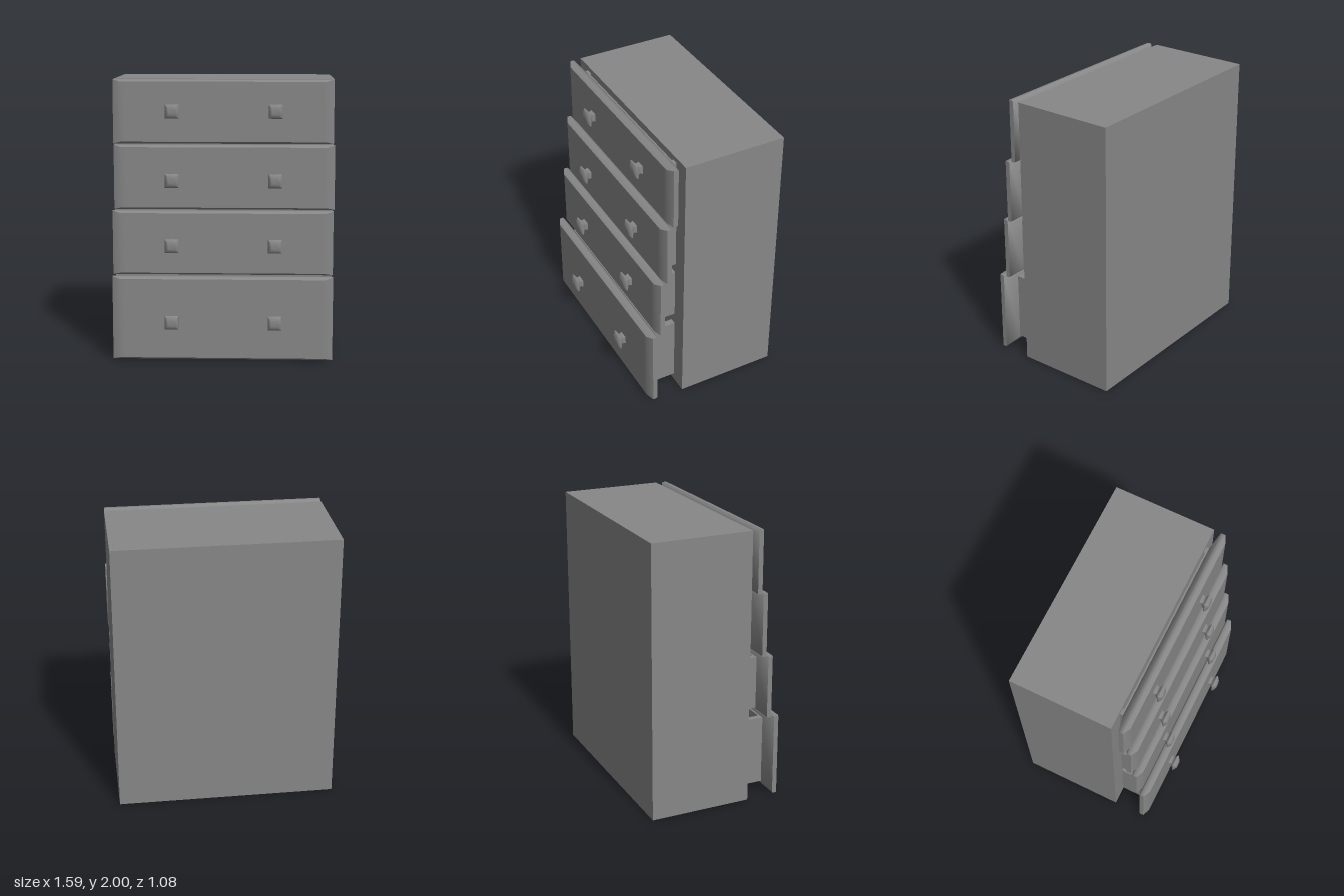
import * as THREE from 'three';
import { toCreasedNormals } from 'three/addons/utils/BufferGeometryUtils.js';

const material = new THREE.MeshStandardMaterial({ color: 0x878787 });

function add(parent, name, geometry, x, y, z) {
  const mesh = new THREE.Mesh(geometry, material);
  mesh.name = name;
  mesh.position.set(x, y, z);
  parent.add(mesh);
}

// Closed solid through rectangles [halfWidth, halfHeight, z], ordered back to front
function rectLoft(sections) {
  const pos = [], index = [];
  for (const [w, h, z] of sections) pos.push(-w, -h, z, w, -h, z, w, h, z, -w, h, z);
  for (let i = 0; i < sections.length - 1; i++) {
    for (let k = 0; k < 4; k++) {
      const a = i * 4 + k, b = i * 4 + (k + 1) % 4;
      index.push(a, b, b + 4, a, b + 4, a + 4);
    }
  }
  const e = (sections.length - 1) * 4;
  index.push(0, 2, 1, 0, 3, 2, e, e + 1, e + 2, e, e + 2, e + 3);
  const g = new THREE.BufferGeometry();
  g.setAttribute('position', new THREE.Float32BufferAttribute(pos, 3));
  g.setIndex(index);
  return toCreasedNormals(g, Math.PI / 3);
}

function makeDrawer({ name, y0, y1, front, inset, knobY, shift }) {
  const drawer = new THREE.Group();
  drawer.name = name;
  const h = (y1 - y0) / 2, cy = (y0 + y1) / 2, w = 0.787;

  // Face: bevelled behind, chamfered in front with a softly shaded border
  add(drawer, 'drawerFace', rectLoft([
    [0.665, h - inset, -0.087],
    [w, h - 0.006, -0.06],
    [w, h, -0.052],
    [w, h, -0.026],
    [w - 0.055, h - 0.015, 0],
    [0.7, h - 0.023, 0],
  ]), shift, cy, front);

  // Open-topped box running back into the cabinet
  const zFront = front - 0.086, zBack = -0.45, depth = zFront - zBack;
  const bh = 2 * (h - inset), zMid = (zFront + zBack) / 2;
  for (const s of [-1, 1]) {
    add(drawer, 'drawerSide', new THREE.BoxGeometry(0.045, bh, depth), shift + s * 0.6425, cy, zMid);
  }
  add(drawer, 'drawerFloor', new THREE.BoxGeometry(1.24, 0.03, depth), shift, cy - bh / 2 + 0.015, zMid);
  add(drawer, 'drawerInnerFront', new THREE.BoxGeometry(1.24, bh, 0.013), shift, cy, zFront - 0.0065);
  add(drawer, 'drawerBack', new THREE.BoxGeometry(1.24, bh, 0.02), shift, cy, zBack + 0.01);

  // Square knobs with a waisted stem
  const knob = rectLoft([
    [0.036, 0.032, -0.005],
    [0.028, 0.025, 0.016],
    [0.031, 0.028, 0.027],
    [0.049, 0.049, 0.042],
    [0.049, 0.049, 0.049],
    [0.027, 0.027, 0.068],
    [0.018, 0.018, 0.07],
  ]);
  for (const s of [-1, 1]) add(drawer, 'knob', knob, s * 0.365, knobY, front);
  return drawer;
}

export function createModel() {
  const model = new THREE.Group();
  model.name = 'chestOfDrawers';

  add(model, 'cabinet', new THREE.BoxGeometry(1.58, 2, 0.745), -0.003, 1, -0.1675);

  // Each drawer stands a little further out than the one above
  const drawers = [
    { name: 'bottomDrawer', y0: 0.007, y1: 0.61, front: 0.47, inset: 0.048, knobY: 0.29, shift: -0.003 },
    { name: 'lowerDrawer', y0: 0.614, y1: 1.075, front: 0.41, inset: 0.037, knobY: 0.832, shift: -0.003 },
    { name: 'upperDrawer', y0: 1.079, y1: 1.54, front: 0.364, inset: 0.037, knobY: 1.292, shift: 0.005 },
    { name: 'topDrawer', y0: 1.544, y1: 2, front: 0.315, inset: 0.037, knobY: 1.778, shift: -0.003 },
  ];
  for (const d of drawers) model.add(makeDrawer(d));
  return model;
}
